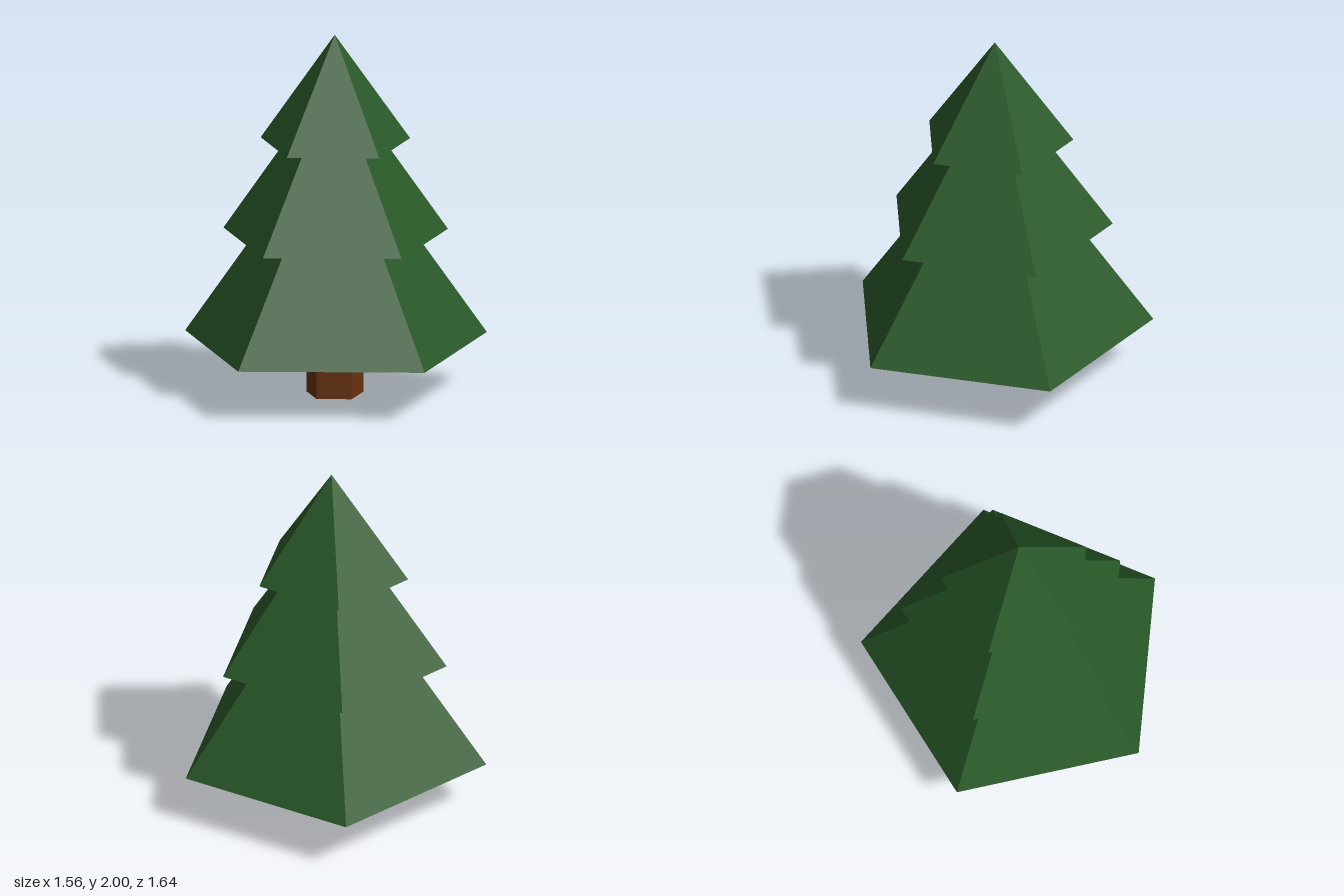
import * as THREE from 'three';

const SIDES = 5;
const AXIS_X = -0.08; // the pentagon's corner points to +x, so the axis sits left of centre

export function createModel() {
  const tree = new THREE.Group();
  tree.name = 'pineTree';

  const needleGreen = new THREE.MeshStandardMaterial({ color: 0x295928, flatShading: true });
  needleGreen.name = 'needle green';
  const barkBrown = new THREE.MeshStandardMaterial({ color: 0x683212, flatShading: true });
  barkBrown.name = 'bark brown';

  // Five-sided closed solid standing on y, with one corner towards +x
  function addPart(name, material, topRadius, bottomRadius, y, height) {
    const geometry = new THREE.CylinderGeometry(topRadius, bottomRadius, height, SIDES);
    geometry.rotateY(Math.PI / 2);
    const mesh = new THREE.Mesh(geometry, material);
    mesh.name = name;
    mesh.position.set(AXIS_X, y + height / 2, 0);
    tree.add(mesh);
  }

  // Trunk, reaching just into the lowest tier
  addPart('trunk', barkBrown, 0.162, 0.162, 0, 0.3);

  // Foliage tiers, each tucked into the one above
  addPart('lowerFoliage', needleGreen, 0.44, 0.86, 0.285, 0.6);
  addPart('middleFoliage', needleGreen, 0.27, 0.64, 0.875, 0.53);
  addPart('upperFoliage', needleGreen, 0, 0.426, 1.395, 0.605);

  // Shallow lip under the top tier
  addPart('upperFoliageLip', needleGreen, 0.37, 0.36, 1.386, 0.009);

  return tree;
}
